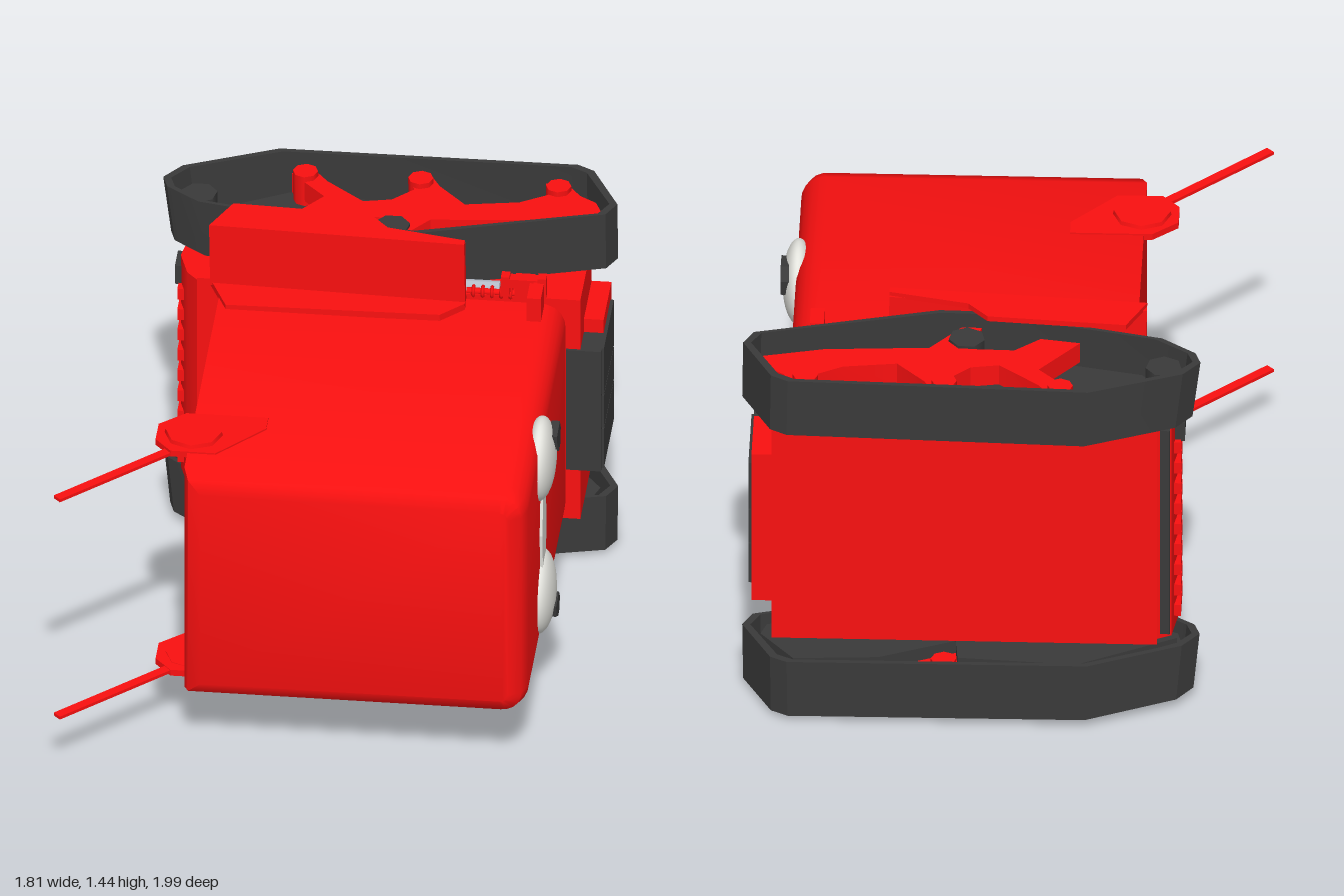
import * as THREE from 'three';
import { toCreasedNormals } from 'three/addons/utils/BufferGeometryUtils.js';

const mat = (color) => new THREE.MeshStandardMaterial({ color });
const RED = mat(0xfa1010), DARK = mat(0x3a3a3a), LIGHT = mat(0xe4e4de), STEEL = mat(0xb4bcc8);
const TRACK_MID = 0.725, ARM_MID = 0.711; // heights of the mirror planes

function add(parent, name, geo, material, x = 0, y = 0, z = 0) {
  const m = new THREE.Mesh(geo, material);
  m.name = name;
  m.position.set(x, y, z);
  parent.add(m);
  return m;
}

// box given by its limits on each axis
function box(parent, name, material, x0, x1, y0, y1, z0, z1) {
  return add(parent, name, new THREE.BoxGeometry(x1 - x0, y1 - y0, z1 - z0), material,
    (x0 + x1) / 2, (y0 + y1) / 2, (z0 + z1) / 2);
}

// outline of [x, z] points extruded along y; a hole runs the other way round
function slabGeo(pts, depth, hole) {
  const v = (list) => list.map(([x, z]) => new THREE.Vector2(x, -z));
  const shape = new THREE.Shape(v(pts));
  if (hole) shape.holes.push(new THREE.Path(v(hole).reverse()));
  const g = new THREE.ExtrudeGeometry(shape, { depth, bevelEnabled: false });
  return toCreasedNormals(g.rotateX(-Math.PI / 2), 0.5);
}

// slab between two distances from the mirror plane, on side s
function sideSlab(parent, name, material, pts, h0, h1, s, hole) {
  return add(parent, name, slabGeo(pts, h1 - h0, hole), material, 0, s > 0 ? h0 : -h1, 0);
}

const BELT = [[-0.32, -1], [0.74, -0.985], [0.8, -0.95], [0.905, -0.74], [0.87, -0.67], [0.22, -0.49],
  [0.06, -0.49], [-0.57, -0.63], [-0.69, -0.72], [-0.71, -0.78], [-0.65, -0.86]];
const FRAME = [[-0.28, -0.6], [-0.14, -0.78], [-0.27, -0.92], [-0.2, -0.96], [-0.14, -0.88], [0, -0.76],
  [0.1, -0.78], [0.17, -0.85], [0.15, -0.93], [0.22, -0.95], [0.26, -0.88], [0.36, -0.77], [0.55, -0.8],
  [0.65, -0.86], [0.63, -0.93], [0.7, -0.94], [0.76, -0.86], [0.82, -0.82], [0.85, -0.75], [0.62, -0.69],
  [0.25, -0.66], [0.14, -0.52], [0.07, -0.52], [0.1, -0.66], [-0.05, -0.66], [-0.14, -0.58]];
const INNER = [[-0.63, -0.77], [-0.28, -0.95], [0.14, -0.91], [0.15, -0.8], [0.42, -0.91], [0.72, -0.92],
  [0.84, -0.76], [0.82, -0.7], [0.2, -0.53], [0.05, -0.53], [-0.5, -0.64]];

function makeTrack(s) {
  const g = new THREE.Group();
  g.name = s > 0 ? 'upperTrack' : 'lowerTrack';
  g.position.set(0.008, TRACK_MID, 0);
  g.rotation.z = 0.014 * s;

  // belt loop, its rear end drawn in towards the bottom
  const inside = BELT.map(([x, z]) => [0.1 + (x - 0.1) * 0.965, -0.74 + (z + 0.74) * 0.93]);
  const belt = sideSlab(g, 'belt', DARK, BELT, 0.465, 0.69, s, inside);
  const p = belt.geometry.attributes.position;
  for (let i = 0; i < p.count; i++)
    if (p.getY(i) < 0.1 && p.getX(i) < 0) p.setX(i, p.getX(i) * 0.965);

  // running frame, wheels and rollers
  sideSlab(g, 'innerGuard', DARK, INNER, 0.49, 0.54, s);
  sideSlab(g, 'frame', RED, FRAME, 0.56, 0.64, s);
  [[-0.58, -0.75], [0.12, -0.6]].forEach(([x, z]) =>
    add(g, 'wheel', new THREE.CylinderGeometry(0.065, 0.065, 0.14, 7), DARK, x, 0.58 * s, z));
  [[-0.22, -0.91], [0.19, -0.9], [0.68, -0.89]].forEach(([x, z]) =>
    add(g, 'roller', new THREE.CylinderGeometry(0.045, 0.045, 0.16, 8), RED, x, 0.58 * s, z));

  // fender: front wall, cover plate and base flange
  sideSlab(g, 'fenderWall', RED, [[-0.51, -0.47], [0.4, -0.43], [0.4, -0.39], [-0.51, -0.44]], 0.465, 0.7, s);
  sideSlab(g, 'fenderCover', RED,
    [[-0.51, -0.44], [-0.44, -0.59], [0.05, -0.56], [0.12, -0.48], [0.4, -0.42], [0.4, -0.39]], 0.695, 0.715, s);
  sideSlab(g, 'fenderFlange', RED,
    [[-0.51, -0.46], [0.4, -0.41], [0.4, -0.38], [0.32, -0.3], [-0.44, -0.3]], 0.45, 0.475, s);

  // axle joining the frame to the body
  add(g, 'axle', new THREE.CylinderGeometry(0.07, 0.07, 0.2, 12), RED, 0.1, 0.5 * s, -0.68);
  return g;
}

function makeArm(s) {
  const g = new THREE.Group();
  g.name = s > 0 ? 'upperArm' : 'lowerArm';
  g.position.y = ARM_MID;
  sideSlab(g, 'shoulderPlate', RED, [[-0.5, 0.4], [-0.21, 0.4], [-0.21, 0.47], [-0.37, 0.65],
    [-0.53, 0.65], [-0.59, 0.58], [-0.59, 0.48]], 0.447, 0.471, s);
  add(g, 'shoulderDisc', new THREE.CylinderGeometry(0.1, 0.11, 0.04, 8), RED, -0.46, 0.465 * s, 0.53);
  const rod = add(g, 'rod', new THREE.BoxGeometry(0.52, 0.012, 0.035), RED, -0.71, 0.455 * s, 0.8);
  rod.rotation.y = Math.atan2(0.36, 0.37);
  return g;
}

function makeHead() {
  const g = new THREE.Group();
  g.name = 'head';
  // rounded shell, bevelled towards the crown
  const b = 0.065, x0 = -0.47 + b, x1 = 0.75 - b, y0 = 0.258 + b, y1 = 1.176 - b, r = 0.03;
  const sh = new THREE.Shape();
  sh.moveTo(x0, y0);
  sh.lineTo(x1 - r, y0);
  sh.quadraticCurveTo(x1, y0, x1, y0 + r);
  sh.lineTo(x1, y1 - r);
  sh.quadraticCurveTo(x1, y1, x1 - r, y1);
  sh.lineTo(x0, y1);
  const shell = new THREE.ExtrudeGeometry(sh, {
    depth: 1.2, bevelSize: b, bevelThickness: 0.08, bevelSegments: 2, curveSegments: 5 });
  // square off the hidden neck end
  const p = shell.attributes.position;
  for (let i = 0; i < p.count; i++) if (p.getZ(i) < 0) p.setZ(i, p.getZ(i) * 0.2);
  add(g, 'headShell', toCreasedNormals(shell, 0.8), RED, 0, 0, -0.457);

  // lens-shaped eyes, pupils and the bridge between them
  for (const s of [1, -1]) {
    const y = 0.742 + 0.277 * s;
    const eye = add(g, 'eye', new THREE.SphereGeometry(0.152, 28, 18), LIGHT, 0.745, y, 0.305);
    eye.scale.x = 0.37;
    const pupil = new THREE.Shape([[-0.07, 0.045], [0.02, 0.055], [0.05, 0.01], [0.04, -0.05],
      [-0.005, -0.055], [-0.02, -0.02], [-0.06, -0.015]].map(([u, v]) => new THREE.Vector2(u, v)));
    const m = add(g, 'pupil', new THREE.ExtrudeGeometry(pupil, { depth: 0.03, bevelEnabled: false }),
      DARK, 0.775, y + (s > 0 ? 0.055 : -0.075), s > 0 ? 0.245 : 0.275);
    m.rotation.y = Math.PI / 2;
    if (s < 0) m.scale.y = 0.8;
  }
  const bridge = new THREE.Shape([[-0.05, -0.17], [0.05, -0.17], [0.06, 0], [0.045, 0.17], [-0.04, 0.17],
    [-0.07, 0]].map(([u, v]) => new THREE.Vector2(u, v)));
  add(g, 'eyeBridge', new THREE.ExtrudeGeometry(bridge, { depth: 0.025, bevelEnabled: false }),
    LIGHT, 0.735, 0.74, 0.31).rotation.y = Math.PI / 2;
  box(g, 'rearLatch', RED, -0.515, -0.46, 0.65, 0.8, -0.48, -0.45);
  return g;
}

function makeBody() {
  const g = new THREE.Group();
  g.name = 'body';
  const core = [[-0.56, -0.85], [0.8, -0.85], [0.8, -0.485], [-0.56, -0.485]];
  add(g, 'core', slabGeo(core, 0.915), RED, 0, 0.265, 0);

  // chest frame around the dark slatted panel
  box(g, 'chest', RED, 0.78, 0.87, 0.42, 1.03, -0.85, -0.6);
  box(g, 'panelBacking', DARK, 0.75, 0.874, 0.475, 0.975, -0.82, -0.475);
  [[0.475, 0.637], [0.643, 0.777], [0.783, 0.975]].forEach(([a, b]) =>
    box(g, 'panelSlat', DARK, 0.87, 0.882, a, b, -0.82, -0.5));
  box(g, 'neck', STEEL, 0.5, 0.74, 0.58, 0.83, -0.5, -0.46);

  // ribbed rear pack
  const pack = [[-0.55, -0.84], [-0.61, -0.81], [-0.635, -0.65], [-0.6, -0.54], [-0.55, -0.485]];
  add(g, 'rearPack', slabGeo(pack, 0.885), RED, 0, 0.28, 0);
  for (let i = 0; i < 9; i++) {
    const y = 0.33 + i * 0.085;
    box(g, 'rearRib', RED, -0.642, -0.57, y, y + 0.045, -0.76, -0.6);
  }
  box(g, 'rearSeam', DARK, -0.605, -0.57, 0.3, 1.15, -0.835, -0.815);
  box(g, 'rearLamp', DARK, -0.655, -0.575, 1.05, 1.125, -0.74, -0.64);
  return g;
}

// piston, spring and clamp on the upper side
function makeLinkage() {
  const g = new THREE.Group();
  g.name = 'linkage';
  const rod = (name, r, len, material, x, y, z) =>
    add(g, name, new THREE.CylinderGeometry(r, r, len, 10).rotateZ(Math.PI / 2), material, x, y, z);
  rod('piston', 0.025, 0.42, STEEL, 0.3, 1.185, -0.53);
  rod('springCore', 0.012, 0.25, RED, 0.52, 1.185, -0.5);
  for (let i = 0; i < 7; i++)
    add(g, 'springCoil', new THREE.TorusGeometry(0.018, 0.007, 5, 10).rotateY(Math.PI / 2), RED,
      0.42 + i * 0.033, 1.185, -0.5);
  box(g, 'clampPost', RED, 0.57, 0.64, 1.17, 1.27, -0.5, -0.46);
  box(g, 'clampBar', RED, 0.53, 0.68, 1.25, 1.285, -0.47, -0.43);
  for (const x of [0.525, 0.655]) box(g, 'clampJaw', RED, x, x + 0.03, 1.22, 1.3, -0.46, -0.42);
  box(g, 'clampTip', RED, 0.63, 0.68, 1.2, 1.295, -0.4, -0.3);
  box(g, 'clampLink', RED, 0.64, 0.67, 1.24, 1.28, -0.44, -0.38);
  return g;
}

export function createModel() {
  const model = new THREE.Group();
  model.name = 'trackedRobot';
  model.add(makeHead(), makeBody(), makeLinkage());
  for (const s of [1, -1]) model.add(makeTrack(s), makeArm(s));
  return model;
}
